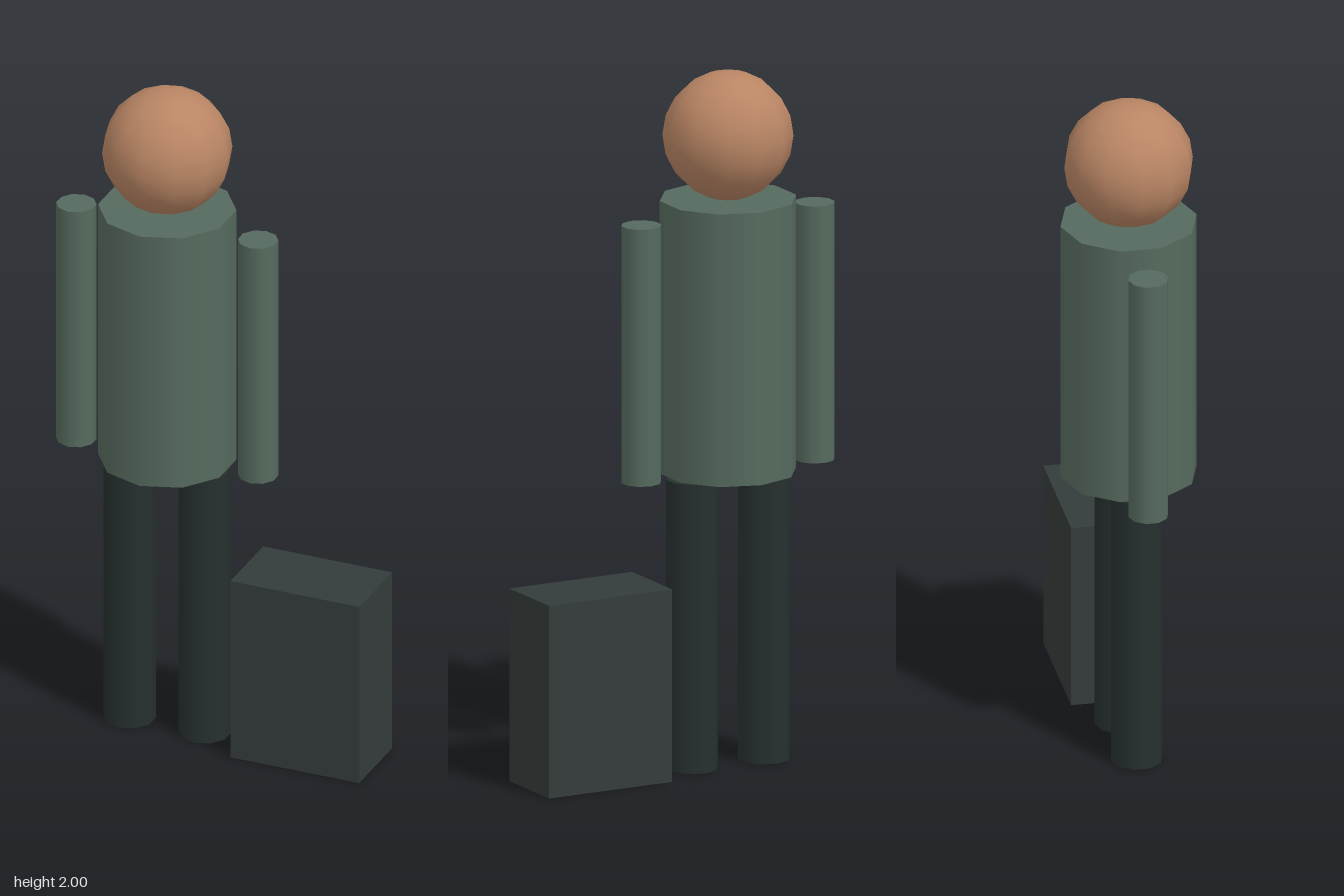
import * as THREE from 'three';

const material = (color) => new THREE.MeshStandardMaterial({ color });

export function createModel() {
  const model = new THREE.Group();
  const skin = material(0xb98564);
  const coat = material(0x566a5e);
  const trousers = material(0x26302f);
  const leather = material(0x343c3b);
  const bodyX = -0.154;

  const add = (name, geometry, mat, x, y) => {
    const mesh = new THREE.Mesh(geometry, mat);
    mesh.name = name;
    mesh.position.set(x, y, 0);
    model.add(mesh);
  };

  // Ten-sided upright cylinder between two heights
  const column = (name, radius, bottom, top, mat, x) =>
    add(name, new THREE.CylinderGeometry(radius, radius, top - bottom, 10), mat, x, (bottom + top) / 2);

  add('head', new THREE.SphereGeometry(0.184, 12, 10), skin, bodyX, 1.816);
  column('torso', 0.195, 0.846, 1.634, coat, bodyX);

  // Paired limbs
  for (const [side, s] of [['left', 1], ['right', -1]]) {
    column(side + 'Arm', 0.057, 0.846, 1.589, coat, bodyX + s * 0.278);
    column(side + 'Leg', 0.074, 0, 0.836, trousers, bodyX + s * 0.115);
  }

  // Suitcase standing at the left foot
  add('suitcase', new THREE.BoxGeometry(0.394, 0.557, 0.23), leather, 0.286, 0.2785);

  return model;
}
